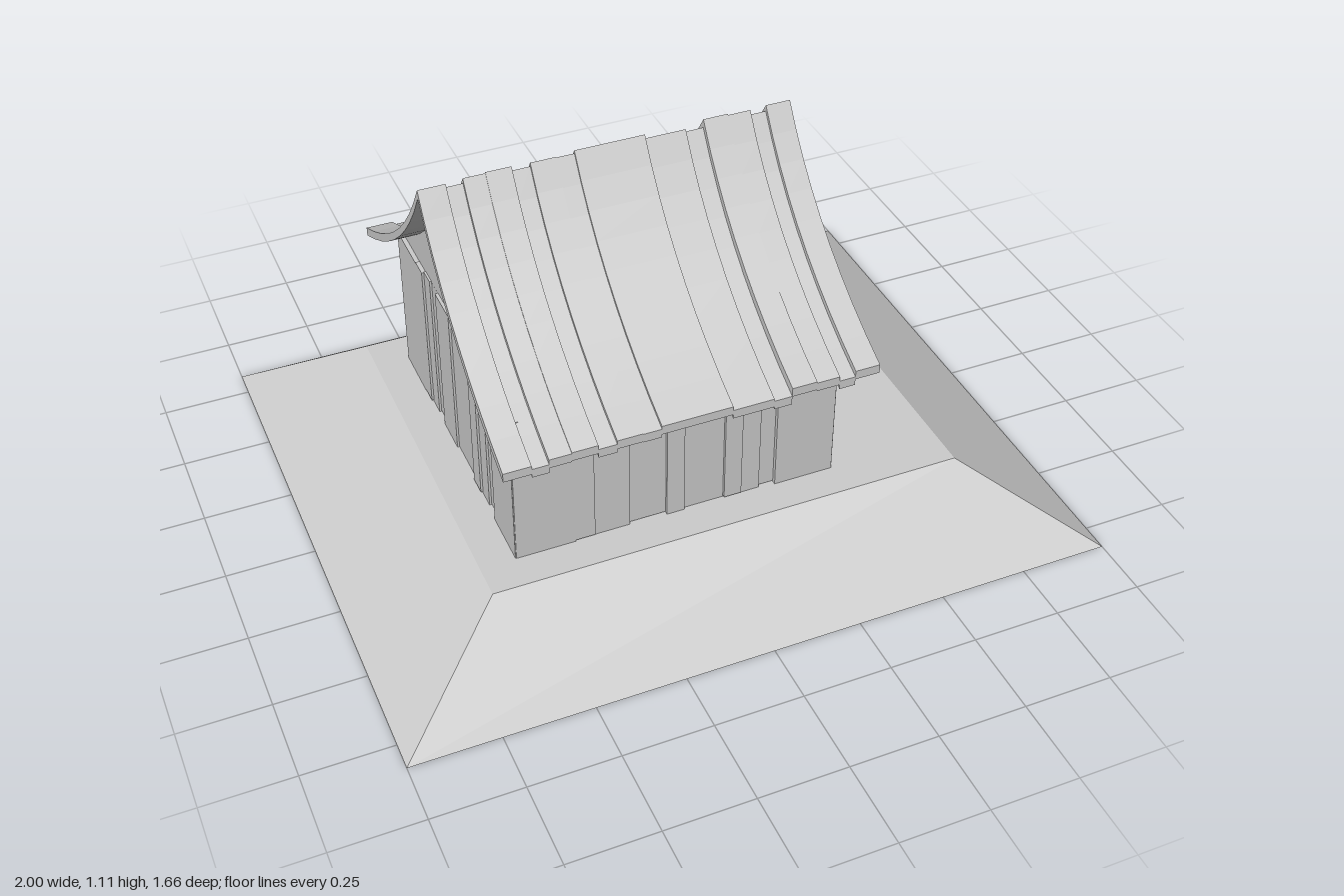
import * as THREE from 'three';

const material = new THREE.MeshStandardMaterial({ color: 0xcccccc, flatShading: true });

function add(parent, geometry, name) {
  const mesh = new THREE.Mesh(geometry, material);
  mesh.name = name;
  parent.add(mesh);
  return mesh;
}

// Small fixed variation for hand-cut boards, from 0 to 1
const vary = (i) => ((i * 7 + 3) % 5) / 4;

// Curved roof slope from ridge to eave, as (z, y)
const slope = new THREE.QuadraticBezierCurve(
  new THREE.Vector2(0, 1.105), new THREE.Vector2(0.19, 0.80), new THREE.Vector2(0.57, 0.63)
).getPoints(9);

// Extrude a symmetric (z, y) outline along x
function extrudeX(outline, x0, x1) {
  const geometry = new THREE.ExtrudeGeometry(new THREE.Shape(outline), {
    depth: x1 - x0, bevelEnabled: false,
  });
  geometry.rotateY(Math.PI / 2);
  geometry.translate(x0, 0, 0);
  return geometry;
}

// Whole arch over the ridge, lowered by a vertical distance
function arch(drop) {
  const right = slope.map((p) => new THREE.Vector2(p.x, p.y - drop));
  const left = right.slice(1).reverse().map((p) => new THREE.Vector2(-p.x, p.y));
  return [...left, ...right];
}

// Row of upright boards between successive edges, along x or z
function boardWall(parent, name, axis, edges, outer, skip = -1) {
  const wall = new THREE.Group();
  wall.name = name;
  const sign = Math.sign(outer.dir);
  for (let i = 0; i < edges.length - 1; i++) {
    if (i === skip) continue;
    const width = edges[i + 1] - edges[i];
    const middle = (edges[i] + edges[i + 1]) / 2;
    const inset = i === 0 || i === edges.length - 2 ? 0 : 0.012 * vary(i);
    const bottom = 0.212 + 0.008 * vary(i + 2);
    const top = 0.662 + 0.006 * vary(i + 1);
    const thick = 0.025;
    const depth = outer.at - sign * (inset + thick / 2);
    const size = axis === 'x' ? [width, top - bottom, thick] : [thick, top - bottom, width];
    const board = add(wall, new THREE.BoxGeometry(...size), 'wallBoard');
    const y = (top + bottom) / 2;
    if (axis === 'x') board.position.set(middle, y, depth);
    else board.position.set(depth, y, middle);
  }
  parent.add(wall);
}

export function createModel() {
  const model = new THREE.Group();
  model.name = 'hut';

  // Sloped earth base
  const base = new THREE.BoxGeometry(2, 0.215, 1.66);
  base.translate(0, 0.1075, 0);
  const pos = base.attributes.position;
  for (let i = 0; i < pos.count; i++) {
    if (pos.getY(i) > 0.1) {
      pos.setX(i, Math.sign(pos.getX(i)) * 0.67);
      pos.setZ(i, Math.sign(pos.getZ(i)) * 0.555);
    }
  }
  base.computeVertexNormals();
  add(model, base, 'base');

  // Board walls; the left wall has a doorway
  const longEdges = [-0.57, -0.405, -0.35, -0.25, -0.145, -0.095, 0.02, 0.07, 0.125, 0.17, 0.34];
  boardWall(model, 'frontWall', 'x', longEdges, { at: 0.458, dir: 1 });
  boardWall(model, 'backWall', 'x', longEdges, { at: -0.458, dir: -1 });
  const endEdges = [-0.455, -0.29, -0.235, -0.185, -0.13, -0.02, 0.13, 0.185, 0.237, 0.295, 0.455];
  boardWall(model, 'rightWall', 'z', endEdges, { at: -0.572, dir: -1 });
  const doorEdges = [-0.455, -0.29, -0.235, -0.02, 0.13, 0.185, 0.237, 0.295, 0.455];
  boardWall(model, 'leftWall', 'z', doorEdges, { at: 0.342, dir: 1 }, 2);

  // Gable block filling the space under the roof
  const gable = arch(0.035).filter((p) => p.y > 0.67);
  const reach = gable[gable.length - 1].x;
  gable.push(new THREE.Vector2(reach + 0.01, 0.664));
  gable.unshift(new THREE.Vector2(-reach - 0.01, 0.664));
  add(model, extrudeX(gable, -0.56, 0.33), 'gable');

  // Overlapping curved roof boards at slightly different heights
  const roof = new THREE.Group();
  roof.name = 'roof';
  const roofEdges = [-0.63, -0.555, -0.51, -0.45, -0.38, -0.33, -0.26, -0.21, -0.015, 0.10, 0.15, 0.22, 0.285, 0.33, 0.40];
  const drops = [0.013, 0.023, 0.008, 0.005, 0.018, 0.007, 0.009, 0, 0.012, 0.019, -0.006, -0.002, 0.012, -0.006];
  drops.forEach((drop, i) => {
    const outline = [...arch(drop), ...arch(drop + 0.026).reverse()];
    add(roof, extrudeX(outline, roofEdges[i], roofEdges[i + 1]), 'roofBoard');
  });
  model.add(roof);

  return model;
}
